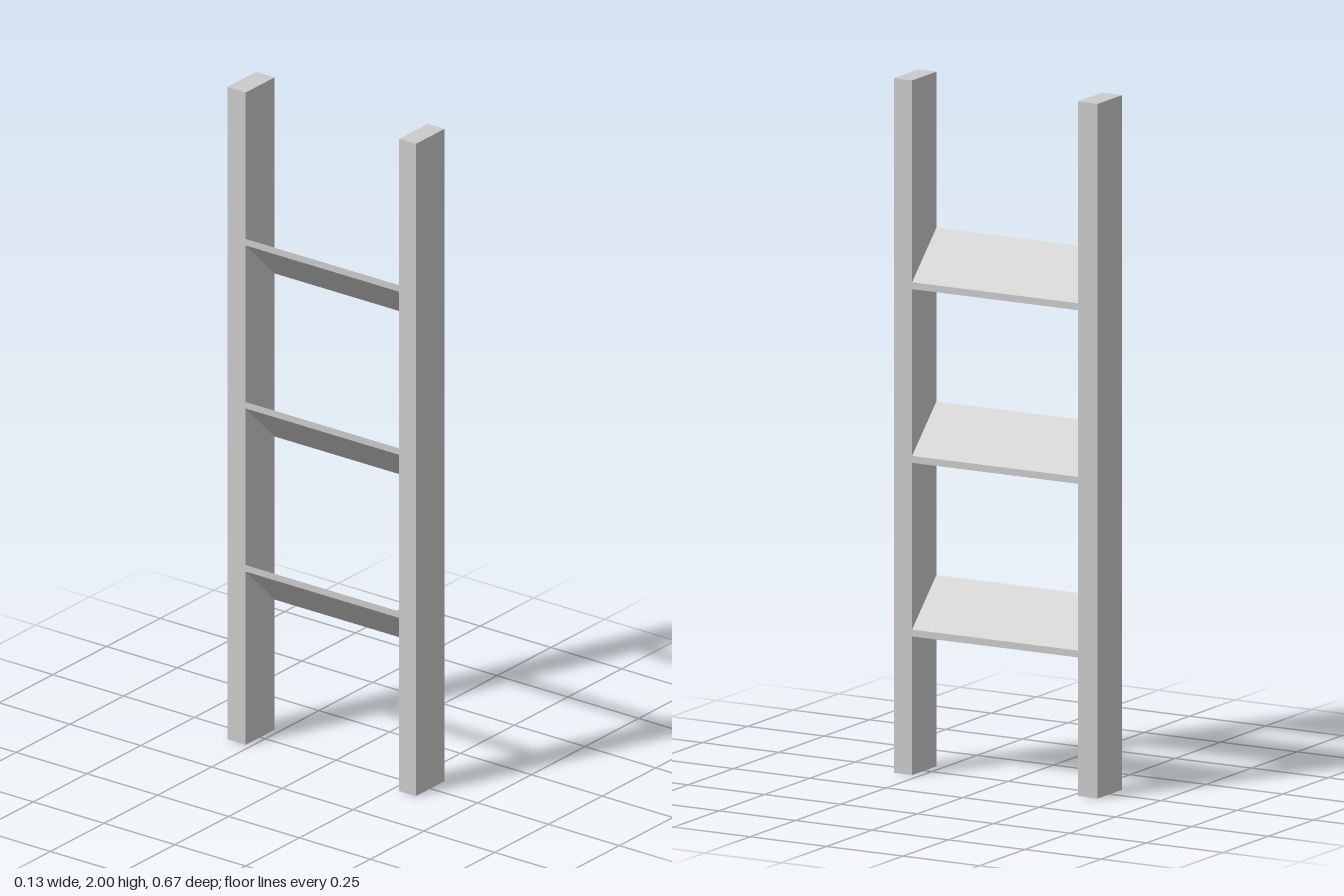
import * as THREE from 'three';

export function createModel() {
  const model = new THREE.Group();
  const material = new THREE.MeshStandardMaterial({ color: 0xcccccc, flatShading: true });
  const halfWidth = 0.067;
  const innerBack = -0.268, innerFront = 0.274;

  // Upright posts
  const addPost = (name, z0, z1) => {
    const post = new THREE.Mesh(new THREE.BoxGeometry(2 * halfWidth, 2, z1 - z0), material);
    post.position.set(0, 1, (z0 + z1) / 2);
    post.name = name;
    model.add(post);
  };
  addPost('frontPost', innerFront, 0.333);
  addPost('backPost', -0.333, innerBack);

  // Sloping slats with vertical edges, low on +x and high on -x
  const profile = new THREE.Shape([
    new THREE.Vector2(-halfWidth, 0.132),
    new THREE.Vector2(halfWidth, 0),
    new THREE.Vector2(halfWidth, 0.02),
    new THREE.Vector2(-halfWidth, 0.152),
  ]);
  const slatGeometry = new THREE.ExtrudeGeometry(profile, {
    depth: innerFront - innerBack,
    bevelEnabled: false,
  });
  [0.4, 0.9, 1.4].forEach((y, i) => {
    const slat = new THREE.Mesh(slatGeometry, material);
    slat.position.set(0, y - 0.001, innerBack);
    slat.name = `slat${i + 1}`;
    model.add(slat);
  });

  return model;
}
